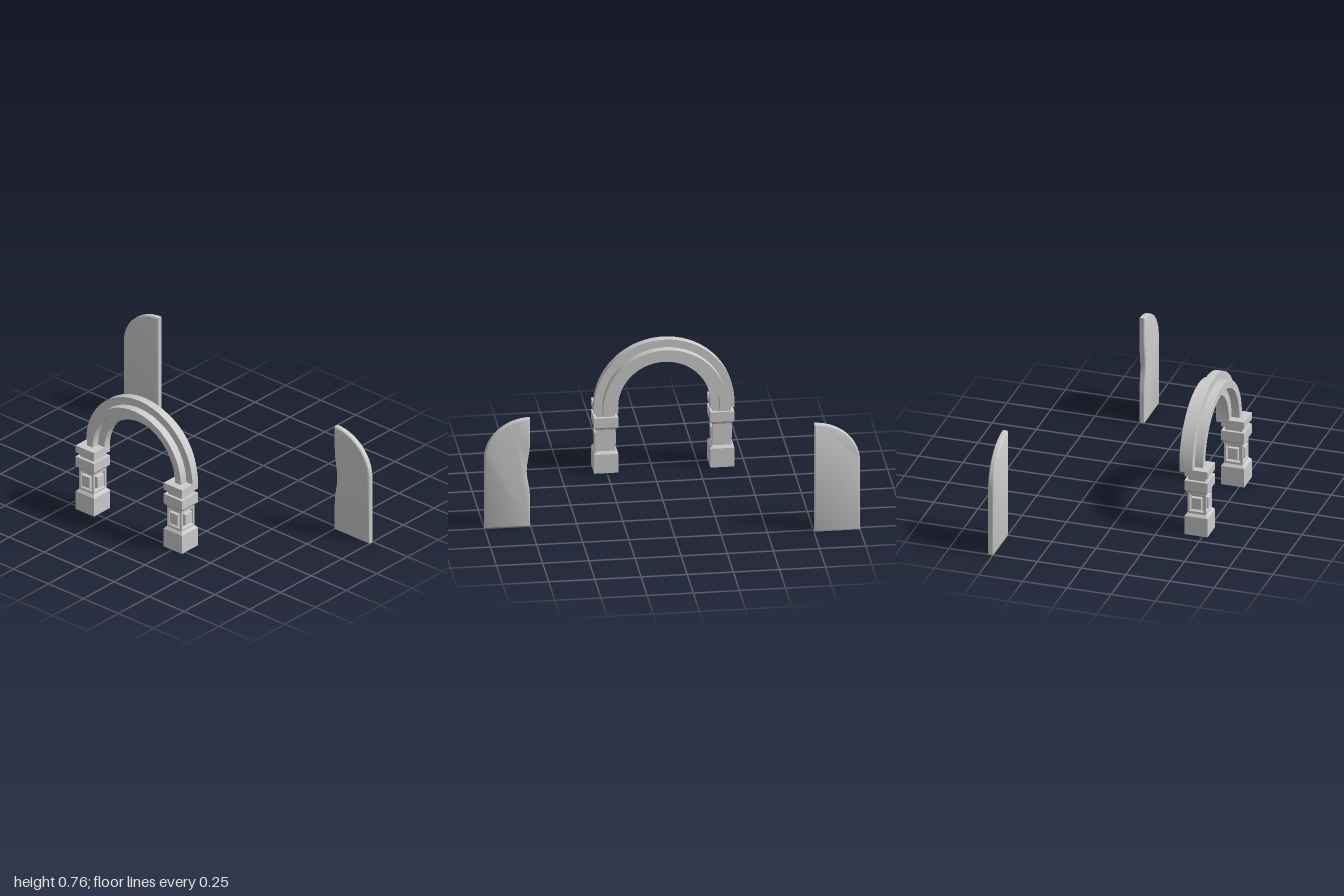
import * as THREE from 'three';
import { toCreasedNormals } from 'three/addons/utils/BufferGeometryUtils.js';

const grey = new THREE.MeshStandardMaterial({ color: 0xcccccc });

function add(parent, name, geometry, x = 0, y = 0, z = 0) {
  const mesh = new THREE.Mesh(geometry, grey);
  mesh.name = name;
  mesh.position.set(x, y, z);
  parent.add(mesh);
  return mesh;
}

// Square stacked moulding from [half width, height] pairs
function squareProfile(pairs) {
  const points = pairs.map(([w, y]) => new THREE.Vector2(w * Math.SQRT2, y));
  return toCreasedNormals(new THREE.LatheGeometry(points, 4, Math.PI / 4), 0.1);
}

// One face of the shaft from nested rectangles [half width, half height, depth]
function nestedFace(rects) {
  const loops = rects.map(([w, h, d]) => [[-w, -h, d], [w, -h, d], [w, h, d], [-w, h, d]]);
  const p = [];
  for (let k = 0; k + 1 < loops.length; k++) {
    const a = loops[k], b = loops[k + 1];
    for (let i = 0; i < 4; i++) {
      const j = (i + 1) % 4;
      p.push(...a[i], ...a[j], ...b[j], ...a[i], ...b[j], ...b[i]);
    }
  }
  const c = loops[loops.length - 1];
  p.push(...c[0], ...c[1], ...c[2], ...c[0], ...c[2], ...c[3]);
  const g = new THREE.BufferGeometry();
  g.setAttribute('position', new THREE.Float32BufferAttribute(p, 3));
  g.computeVertexNormals();
  return g;
}

// Half ring with short straight legs, extruded from z0 to z1
function archBand(outer, inner, z0, z1) {
  const leg = -0.037;
  const s = new THREE.Shape();
  s.moveTo(outer, leg);
  s.lineTo(outer, 0);
  s.absarc(0, 0, outer, 0, Math.PI, false);
  s.lineTo(-outer, leg);
  s.lineTo(-inner, leg);
  s.lineTo(-inner, 0);
  s.absarc(0, 0, inner, Math.PI, 0, true);
  s.lineTo(inner, leg);
  s.closePath();
  const g = new THREE.ExtrudeGeometry(s, { depth: z1 - z0, bevelEnabled: false, curveSegments: 40 });
  g.translate(0, 0, z0);
  return toCreasedNormals(g, 0.6);
}

function pillar(x) {
  const group = new THREE.Group();
  group.name = 'pillar';
  group.position.set(x, 0, 0.4625);
  const wide = 0.0655, shaft = 0.0525;
  add(group, 'pillarBase', squareProfile([[0, 0], [wide, 0], [wide, 0.11], [shaft, 0.125], [0, 0.125]]));
  add(group, 'capital', squareProfile([
    [0, 0.25], [shaft, 0.25], [wide, 0.266], [wide, 0.323], [0.049, 0.323],
    [0.049, 0.348], [wide, 0.348], [wide, 0.39], [0, 0.39],
  ]));
  // Shaft: framed raised panels on the front and both sides, plain back
  const rim = [shaft, 0.0625, 0];
  const panelled = nestedFace([rim, [0.041, 0.05, 0], [0.033, 0.042, -0.012], [0.029, 0.036, -0.012], [0.026, 0.033, 0.005]]);
  const plain = nestedFace([rim]);
  for (let i = 0; i < 4; i++) {
    const a = i * Math.PI / 2;
    const face = add(group, i === 2 ? 'shaftBack' : 'shaftPanel', i === 2 ? plain : panelled,
      Math.sin(a) * shaft, 0.1875, Math.cos(a) * shaft);
    face.rotation.y = a;
  }
  return group;
}

// Quarter-arched door leaf; side is the direction of its rounded shoulder
function doorLeaf(side, dent) {
  const s = new THREE.Shape();
  const inX = 0.752 * side;
  s.moveTo(inX, 0);
  s.lineTo(side, 0);
  s.lineTo(side, 0.4);
  s.absellipse(inX, 0.4, 0.248, 0.23, side > 0 ? 0 : Math.PI, Math.PI / 2, side < 0);
  if (dent) {
    s.lineTo(inX, 0.5);
    s.bezierCurveTo(inX, 0.42, inX + 0.018 * side, 0.38, inX + 0.018 * side, 0.32);
    s.bezierCurveTo(inX + 0.018 * side, 0.27, inX, 0.23, inX, 0.15);
  }
  s.closePath();
  const r = 0.008;
  const g = new THREE.ExtrudeGeometry(s, {
    depth: 0.034 - 2 * r, curveSegments: 20, bevelSize: r, bevelThickness: r, bevelOffset: -r, bevelSegments: 4,
  });
  g.translate(0, 0, r - 0.017);
  return toCreasedNormals(g, 0.8);
}

export function createModel() {
  const model = new THREE.Group();
  model.name = 'archwayWithDoors';

  // Arch with a cross-shaped section: broad rib and deeper, narrower band
  const arch = new THREE.Group();
  arch.name = 'arch';
  arch.position.set(-0.06, 0.385, 0);
  add(arch, 'archRib', archBand(0.38, 0.25, 0.397, 0.442));
  add(arch, 'archBand', archBand(0.336, 0.295, 0.354, 0.487));
  model.add(arch);

  for (const s of [-1, 1]) model.add(pillar(-0.06 + s * 0.3145));

  // Separate door leaves
  add(model, 'rightDoor', doorLeaf(-1, false), 0, 0, -0.513);
  add(model, 'leftDoor', doorLeaf(1, true), 0, 0, -0.236);
  return model;
}
